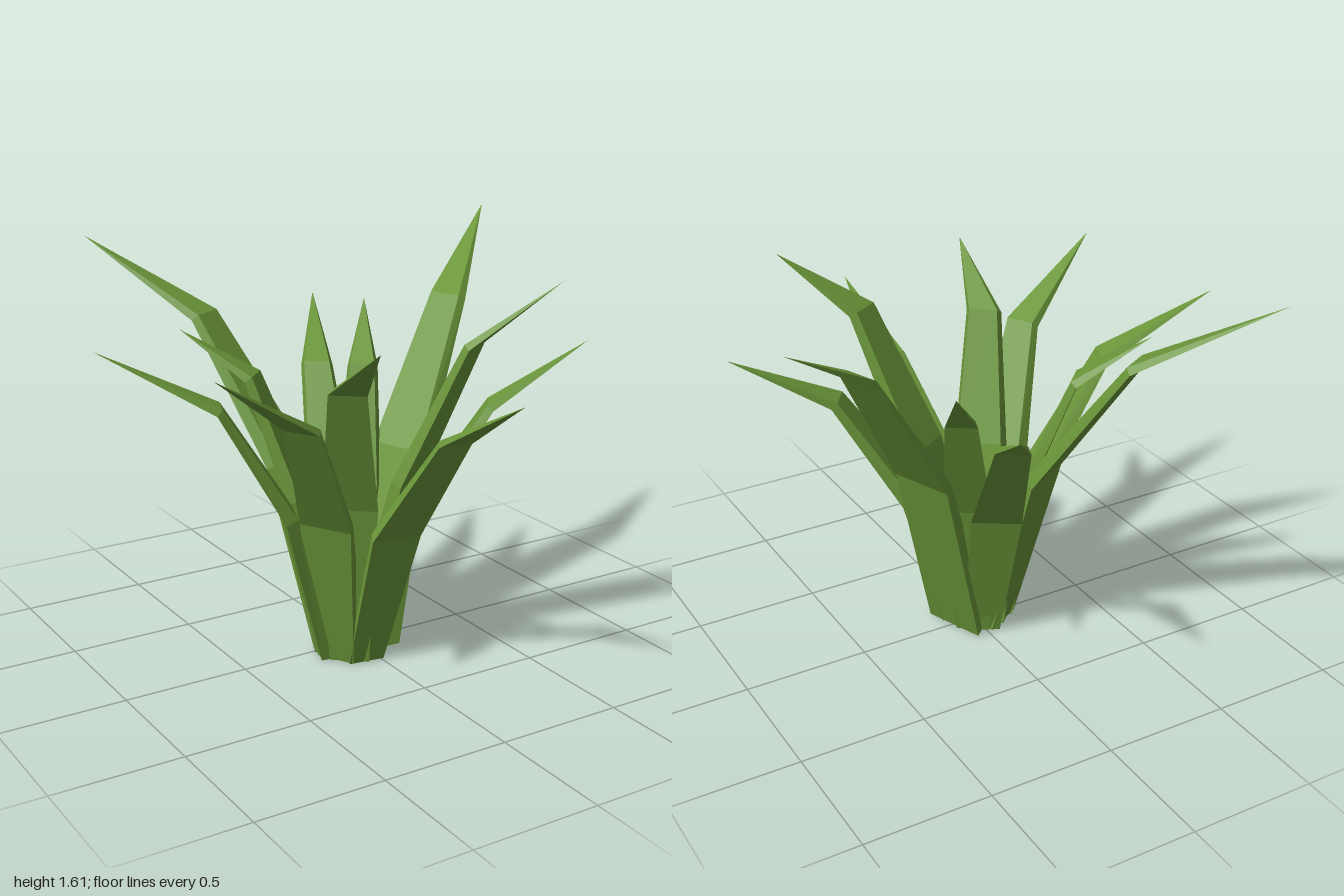
import * as THREE from 'three';

// One leaf per row: base [x, z], shoulder and tip [x, y, z],
// side = full width vector [x, z] at the shoulder, running clockwise seen from above
const LEAVES = [
  { base: [-0.08, -0.06], shoulder: [-0.35, 1.28, -0.56], tip: [-0.69, 1.57, -0.95], side: [0.14, -0.08] },
  { base: [-0.02, -0.09], shoulder: [0.125, 1.03, -0.50], tip: [0.305, 1.25, -0.84], side: [0.11, 0.07] },
  { base: [0.04, -0.06], shoulder: [0.21, 1.06, -0.28], tip: [0.355, 1.28, -0.50], side: [0.10, 0.07] },
  { base: [0.09, 0.0], shoulder: [0.59, 1.31, -0.24], tip: [1.0, 1.61, -0.565], side: [0.06, 0.16], baseScale: 1.5 },
  { base: [0.07, 0.08], shoulder: [0.45, 0.99, 0.265], tip: [0.855, 1.21, 0.35], side: [-0.08, 0.11] },
  { base: [0.03, 0.11], shoulder: [0.265, 1.28, 0.40], tip: [0.55, 1.51, 0.555], side: [-0.13, 0.08] },
  { base: [-0.06, 0.185], shoulder: [0.065, 0.98, 0.57], tip: [0.085, 1.20, 0.945], side: [-0.13, -0.02] },
  { base: [-0.10, 0.14], shoulder: [-0.27, 1.17, 0.39], tip: [-0.33, 1.38, 0.695], side: [-0.11, -0.09] },
  { base: [-0.14, 0.11], shoulder: [-0.465, 1.07, 0.415], tip: [-0.885, 1.34, 0.57], side: [-0.07, -0.13] },
  { base: [-0.18, 0.05], shoulder: [-0.58, 1.06, -0.01], tip: [-1.0, 1.30, -0.15], side: [0.05, -0.13] },
  { base: [-0.13, -0.02], shoulder: [-0.32, 1.10, -0.225], tip: [-0.55, 1.28, -0.38], side: [0.10, -0.10] },
];
const ROOT = new THREE.Vector3(-0.04, 0, 0.04); // where all leaves meet

// Tapering leaf: three bevelled sections, wider on the outer face, closing to a point
function leafGeometry({ base, shoulder, tip, side, baseScale = 1.1 }) {
  const foot = new THREE.Vector3(base[0], 0, base[1]);
  const bend = new THREE.Vector3(...shoulder);
  const middle = foot.clone().lerp(bend, 0.335).setY(0.575 * bend.y); // leaf rises before it leans out
  foot.lerp(ROOT, 0.5); // thick foot reaches in to the root
  const path = [foot, middle, bend, new THREE.Vector3(...tip)];
  const widths = [baseScale, 1.5, 1];
  const innerWidths = [0.5, 0.85, 0.8];
  const thickness = [0.15, 0.05, 0.03];
  const across = new THREE.Vector3(side[0], 0, side[1]);
  const positions = [];

  for (let i = 0; i < 3; i++) {
    const along = path[i + 1].clone().sub(path[Math.max(i - 1, 0)]);
    const normal = along.cross(across).normalize(); // points out of the plant
    if (i === 0) normal.setY(0).normalize(); // base cut level with the ground
    const inner = innerWidths[i];
    for (const [u, v] of [[1, 1], [-1, 1], [-inner, -1], [inner, -1]]) {
      const corner = path[i].clone()
        .addScaledVector(across, (u * widths[i]) / 2)
        .addScaledVector(normal, (v * thickness[i]) / 2);
      positions.push(...corner.toArray());
    }
  }
  positions.push(...tip);

  const index = [0, 2, 1, 0, 3, 2]; // underside of the base
  for (let k = 0; k < 4; k++) {
    const n = (k + 1) % 4;
    for (const r of [0, 4]) {
      index.push(r + k, r + n, r + 4 + n, r + k, r + 4 + n, r + 4 + k);
    }
    index.push(8 + k, 8 + n, 12);
  }

  const indexed = new THREE.BufferGeometry();
  indexed.setAttribute('position', new THREE.Float32BufferAttribute(positions, 3));
  indexed.setIndex(index);
  const geometry = indexed.toNonIndexed();
  geometry.computeVertexNormals();
  return geometry;
}

export function createModel() {
  const plant = new THREE.Group();
  plant.name = 'spikyPlant';

  const leafGreen = new THREE.MeshStandardMaterial({ color: 0x6a9639, flatShading: true });
  leafGreen.name = 'leafGreen';

  LEAVES.forEach((leaf, i) => {
    const mesh = new THREE.Mesh(leafGeometry(leaf), leafGreen);
    mesh.name = `leaf${i + 1}`;
    plant.add(mesh);
  });
  return plant;
}
